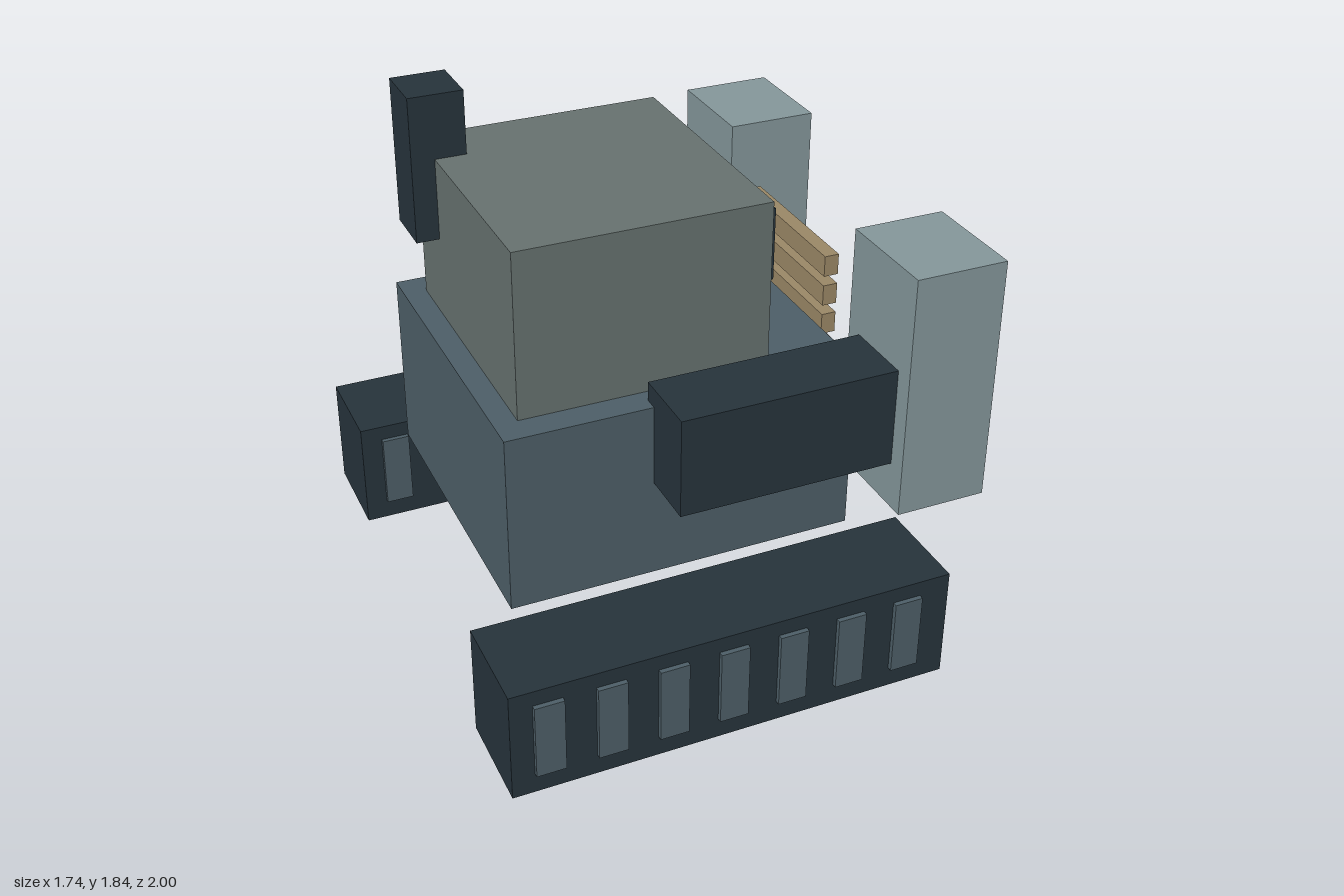
import * as THREE from 'three';

const material = (color) => new THREE.MeshStandardMaterial({ color });

export function createModel() {
  const model = new THREE.Group();
  const dark = material(0x26333b);
  const steel = material(0x4d5e67);
  const grey = material(0x66716f);
  const pale = material(0x84969a);
  const gold = material(0xa68a58);
  const tan = material(0x9a8766);

  // Box given by its extents along each axis
  function box(name, mat, [x0, x1], [y0, y1], [z0, z1], parent = model) {
    const mesh = new THREE.Mesh(new THREE.BoxGeometry(x1 - x0, y1 - y0, z1 - z0), mat);
    mesh.position.set((x0 + x1) / 2, (y0 + y1) / 2, (z0 + z1) / 2);
    mesh.name = name;
    parent.add(mesh);
    return mesh;
  }

  // Hull and head
  box('body', steel, [-0.71, 0.513], [0.39, 1.03], [-0.565, 0.565]);
  box('head', grey, [-0.63, 0.24], [1.03, 1.615], [-0.467, 0.467]);
  box('visorFrame', dark, [0.24, 0.32], [1.26, 1.517], [-0.33, 0.33]);
  box('visorLight', gold, [0.32, 0.357], [1.327, 1.427], [-0.257, 0.257]);
  box('exhaustStack', dark, [-0.71, -0.52], [1.325, 1.84], [-0.455, -0.26]);

  // Chest grille slats
  for (let i = 0; i < 4; i++) {
    const y = 0.913 + i * 0.11;
    box('grilleSlat', tan, [0.533, 0.585], [y - 0.0375, y + 0.0375], [-0.292, 0.292]);
  }

  // Tracks, arms and fists on both sides
  for (const side of [-1, 1]) {
    const span = (a, b) => (side > 0 ? [a, b] : [-b, -a]);

    const track = new THREE.Group();
    track.name = 'track';
    model.add(track);
    box('trackBlock', dark, [-0.872, 0.673], [0, 0.403], span(0.632, 0.983), track);
    // Each pad runs through the block and shows on both faces
    for (let i = 0; i < 7; i++) {
      const x = -0.745 + i * 0.21;
      box('trackPad', steel, [x - 0.05, x + 0.05], [0.075, 0.348], span(0.615, 1), track);
    }

    const arm = new THREE.Group();
    arm.name = 'arm';
    model.add(arm);
    box('upperArm', dark, [-0.21, 0.547], [0.745, 1.097], span(0.517, 0.772), arm);
    box('forearm', pale, [0.547, 0.87], [0.583, 1.455], span(0.452, 0.84), arm);
  }

  return model;
}
